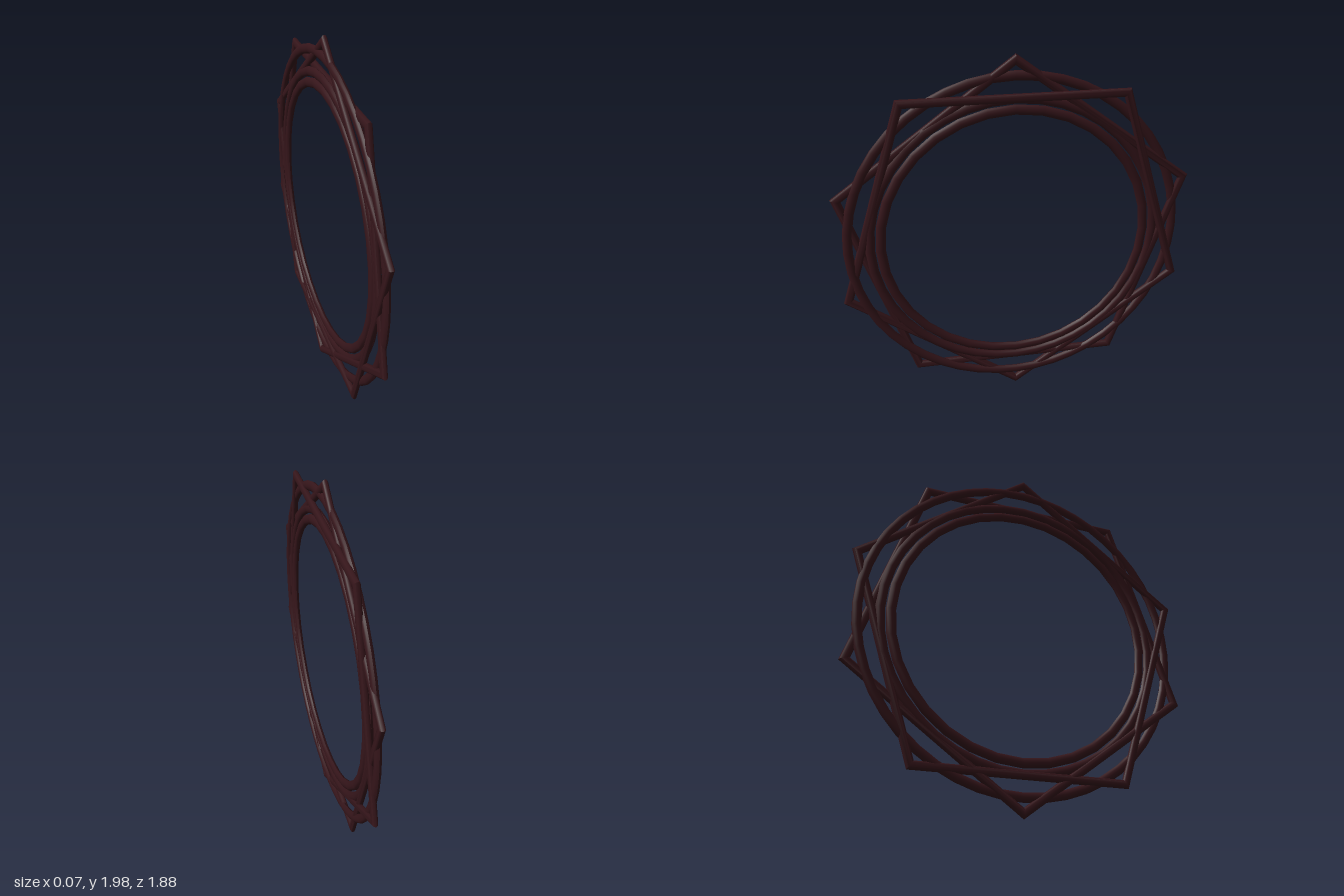
import * as THREE from 'three';
import { toCreasedNormals } from 'three/addons/utils/BufferGeometryUtils.js';

const HALF_DEPTH = 0.017; // half thickness of every band along x
const material = new THREE.MeshStandardMaterial({ color: 0x35151a });

// Closed band around the x axis: a flattened torus with the given number of sides
function band(name, radius, tube, sides, firstCorner, x) {
  const torus = new THREE.TorusGeometry(radius, tube, 12, sides);
  torus.rotateZ(firstCorner);
  torus.scale(1, 1, HALF_DEPTH / tube);
  torus.rotateY(Math.PI / 2);
  const mesh = new THREE.Mesh(toCreasedNormals(torus, 0.7), material);
  mesh.name = name;
  mesh.position.set(x, 1, 0);
  return mesh;
}

export function createModel() {
  const group = new THREE.Group();
  group.name = 'ringOrnament';

  // Round bands
  group.add(band('outerRing', 0.885, 0.025, 48, 0, -0.007));
  group.add(band('middleRing', 0.772, 0.025, 40, 0, -0.007));
  group.add(band('innerRing', 0.717, 0.026, 32, 0, -0.007));

  // Two interlaced pentagons, each leaning slightly through the rings
  const upright = band('uprightPentagon', 0.962, 0.028, 5, Math.PI / 2, -0.0105);
  upright.rotation.set(0, -0.009, -0.006);
  const inverted = band('invertedPentagon', 0.962, 0.028, 5, -Math.PI / 2, -0.002);
  inverted.rotation.set(0, -0.009, -0.014);
  group.add(upright, inverted);

  return group;
}
